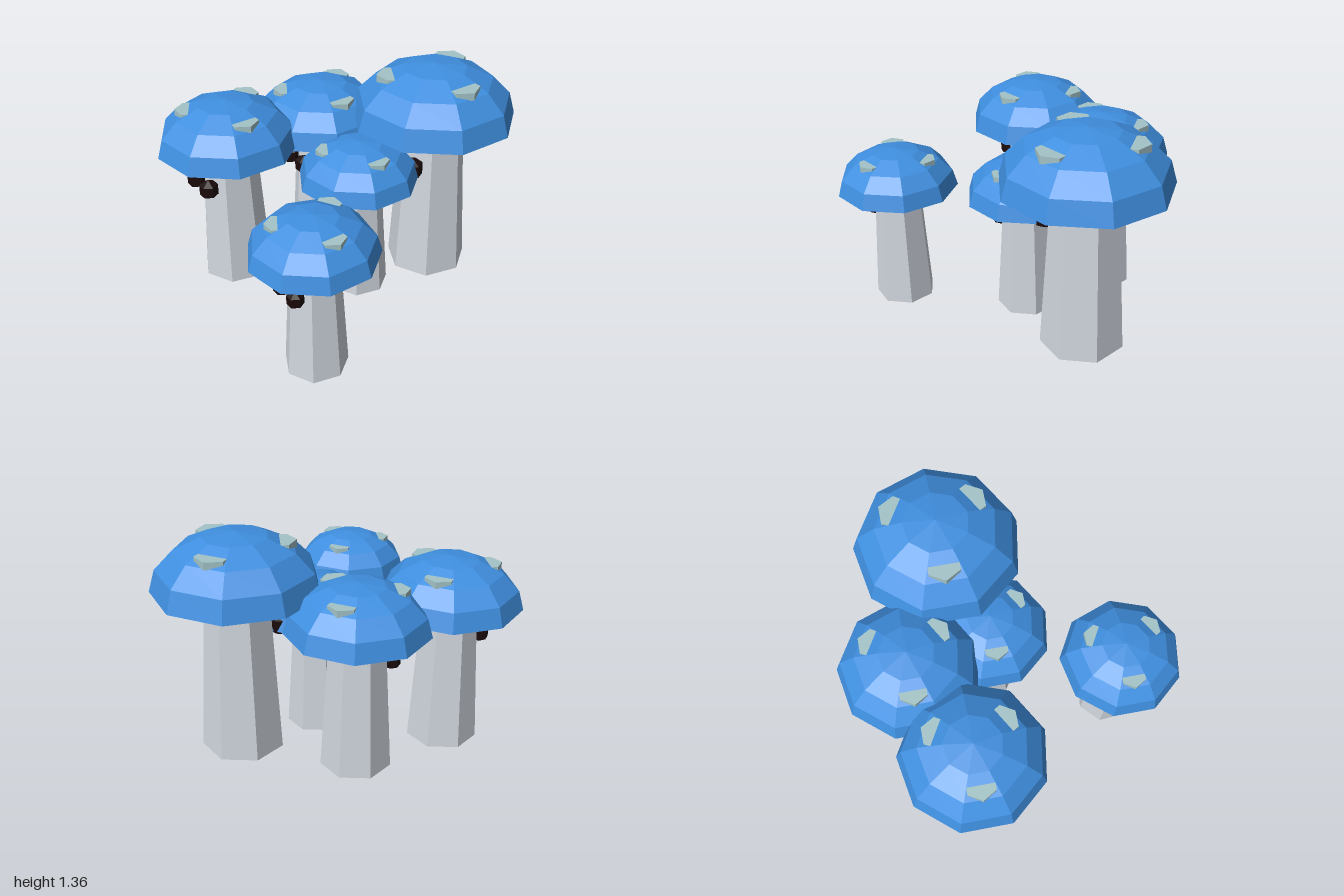
import * as THREE from 'three';

const flat = (name, color, side = THREE.FrontSide) => {
  const m = new THREE.MeshStandardMaterial({ color, flatShading: true, side });
  m.name = name;
  return m;
};

export function createModel() {
  const blue = flat('cap blue', 0x3f8fe0, THREE.DoubleSide);
  const grey = flat('stem grey', 0xd0d6de);
  const teal = flat('spot teal', 0xa4c4c8);
  const dark = flat('eye dark', 0x1c0a0a);

  // Shared geometries of a full-size mushroom
  const capGeo = new THREE.SphereGeometry(0.496, 9, 4, 0, Math.PI * 2, 0, Math.PI / 2).scale(1, 0.69, 1);
  const stemGeo = new THREE.CylinderGeometry(0.19, 0.25, 1.02, 7);
  const spotGeo = new THREE.CylinderGeometry(0.104, 0.104, 0.045, 6).rotateY(Math.PI / 6);
  const eyeGeo = new THREE.SphereGeometry(0.074, 6, 3);

  const add = (parent, name, geo, mat, x, y, z) => {
    const mesh = new THREE.Mesh(geo, mat);
    mesh.name = name;
    mesh.position.set(x, y, z);
    parent.add(mesh);
    return mesh;
  };

  const makeMushroom = () => {
    const g = new THREE.Group();
    add(g, 'stem', stemGeo, grey, 0, 0.51, 0);
    add(g, 'cap', capGeo, blue, 0, 1.018, 0);

    // Three flat spots sunk into the cap
    for (let i = 0; i < 3; i++) {
      const a = (i * Math.PI * 2) / 3;
      add(g, 'spot', spotGeo, teal, 0.24 * Math.cos(a), 1.278, 0.24 * Math.sin(a));
    }

    // Eyes on the front of the stem
    for (const s of [1, -1]) add(g, s > 0 ? 'leftEye' : 'rightEye', eyeGeo, dark, s * 0.091, 0.77, 0.222);
    return g;
  };

  // Cluster: name, x, z, scale
  const model = new THREE.Group();
  model.name = 'mushroomCluster';
  const cluster = [
    ['largeBackMushroom', 0.142, -0.513, 1],
    ['rightBackMushroom', -0.43, -0.09, 0.845],
    ['rightFrontMushroom', -0.487, 0.541, 0.863],
    ['centreMushroom', 0.1, 0.005, 0.727],
    ['leftFrontMushroom', 0.577, 0.635, 0.727],
  ];
  for (const [name, x, z, s] of cluster) {
    const m = makeMushroom();
    m.name = name;
    m.position.set(x, 0, z);
    m.scale.setScalar(s);
    model.add(m);
  }
  return model;
}
